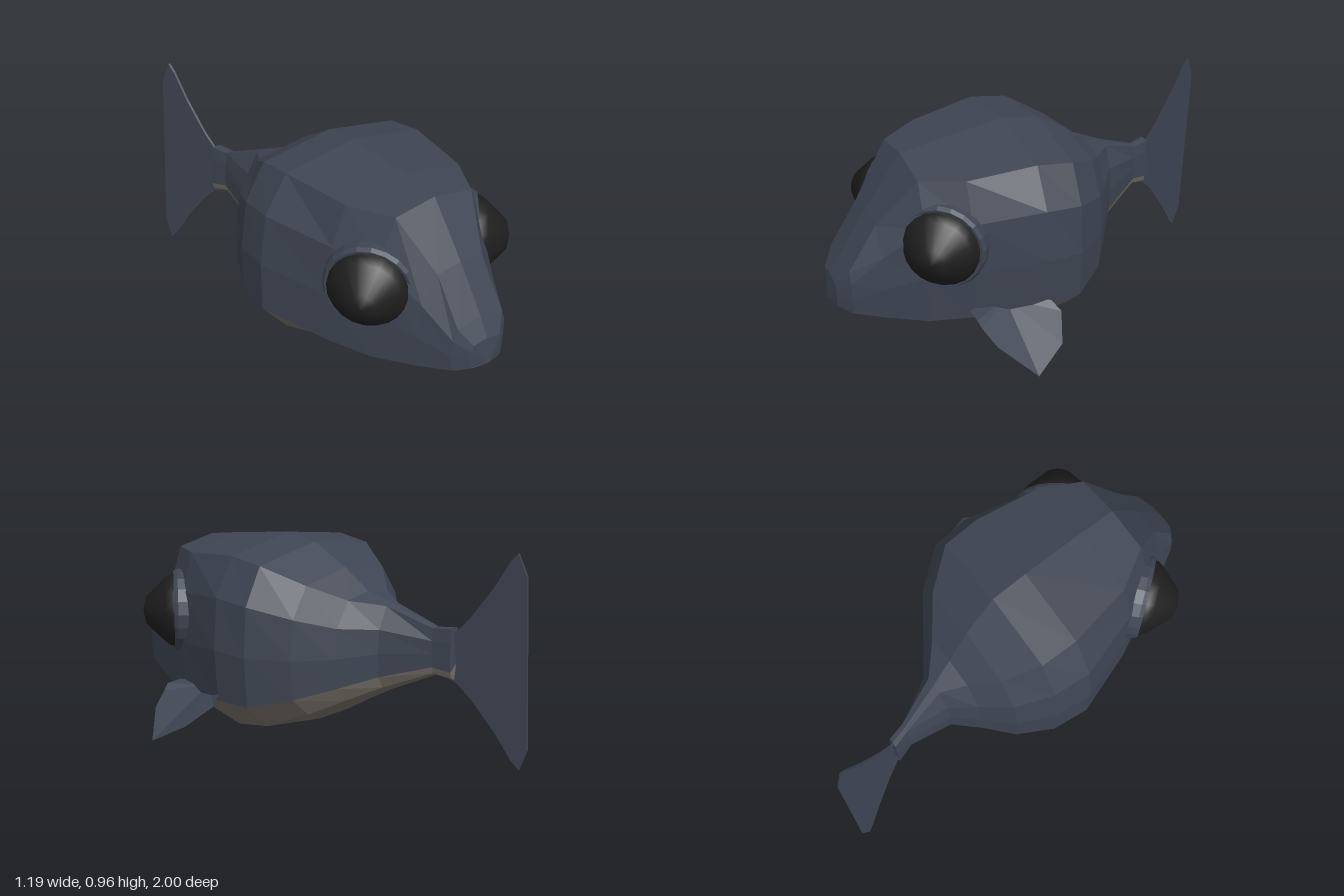
import * as THREE from 'three';

const skin = new THREE.MeshStandardMaterial({ name: 'slate skin', color: 0x3e4552, flatShading: true });
const finMat = new THREE.MeshStandardMaterial({ name: 'slate fin', color: 0x3e4552, flatShading: true, side: THREE.DoubleSide });
const bellyMat = new THREE.MeshStandardMaterial({ name: 'grey belly', color: 0x736d65, flatShading: true });
const eyeMat = new THREE.MeshStandardMaterial({ name: 'black eye', color: 0x1e1e1e });

// Body stations, nose to tail: z, centre x, top y, jaw y, bottom y, half width, ridge half width
const STATIONS = [
  [0.98, -0.07, 0.41, 0.293, 0.28, 0.085, 0.07],
  [0.93, -0.07, 0.49, 0.275, 0.25, 0.145, 0.12],
  [0.8, -0.08, 0.685, 0.25, 0.23, 0.21, 0.12],
  [0.63, -0.09, 0.908, 0.23, 0.205, 0.295, 0.2],
  [0.45, -0.1, 0.93, 0.245, 0.175, 0.38, 0.3],
  [0.14, -0.12, 0.96, 0.27, 0.07, 0.478, 0.35],
  [-0.03, -0.12, 0.932, 0.265, 0.1, 0.46, 0.345],
  [-0.19, -0.145, 0.83, 0.3, 0.175, 0.36, 0.25],
  [-0.3, -0.17, 0.735, 0.335, 0.24, 0.225, 0.13],
  [-0.41, -0.205, 0.69, 0.375, 0.3, 0.1, 0.04],
  [-0.61, -0.26, 0.605, 0.43, 0.39, 0.03, 0.02],
  [-0.69, -0.285, 0.61, 0.415, 0.375, 0.03, 0.022],
];

const lerp = THREE.MathUtils.lerp;

function fromPoints(points, index) {
  const g = new THREE.BufferGeometry();
  g.setAttribute('position', new THREE.Float32BufferAttribute(points.flat(), 3));
  g.setIndex(index);
  g.computeVertexNormals();
  return g;
}

// Joins equal-length rows of points, nose to tail
function loft(rows) {
  const n = rows[0].length, index = [];
  for (let i = 0; i < rows.length - 1; i++) {
    for (let j = 0; j < n - 1; j++) {
      const a = i * n + j, b = a + 1, c = a + n, d = c + 1;
      index.push(a, c, b, b, c, d);
    }
  }
  return fromPoints(rows.flat(), index);
}

function add(parent, name, geometry, material) {
  const mesh = new THREE.Mesh(geometry, material);
  mesh.name = name;
  parent.add(mesh);
}

function buildBody(group) {
  const back = [], under = [];
  for (const [z, cx, top, jaw, bottom, w, ridge] of STATIONS) {
    // The body is rolled slightly about its centre line
    const p = (u, y) => [cx + u + 0.04 * (y - 0.5), y - 0.05 * u, z];
    const ridgeY = top - 0.16 * ridge;
    const shoulder = lerp(ridge, w, 0.8), shoulderY = lerp(top, jaw, 0.33);
    const middleY = (shoulderY + jaw) / 2, jawW = 0.98 * w;
    const bellyW = 0.72 * w, bellyY = lerp(bottom, jaw, 0.3);
    back.push([p(jawW, jaw), p(w, middleY), p(shoulder, shoulderY), p(ridge, ridgeY), p(0, top),
      p(-ridge, ridgeY), p(-shoulder, shoulderY), p(-w, middleY), p(-jawW, jaw)]);
    under.push([p(-jawW, jaw), p(-bellyW, bellyY), p(0, bottom), p(bellyW, bellyY), p(jawW, jaw)]);
  }
  // Close the nose and the tail root
  for (const rows of [back, under]) {
    rows.unshift(rows[0].map(() => [-0.075, 0.295, 1]));
    rows.push(rows[0].map(() => [-0.287, 0.45, -0.7]));
  }
  add(group, 'upperBody', loft(back), skin);
  add(group, 'belly', loft(under), bellyMat);
}

// Blunt cone eye in a thin raised socket, facing outward and forward
function buildEye(group, name, x, z, side) {
  const eye = new THREE.Group();
  eye.name = name;
  const lathe = (pts) => new THREE.LatheGeometry(pts.map(([r, h]) => new THREE.Vector2(r, h)), 20);
  add(eye, 'socket', lathe([[0.2, -0.1], [0.194, -0.01], [0.183, 0.008], [0.168, 0.004]]), skin);
  add(eye, 'eyeball', lathe([[0.172, -0.01], [0.17, 0.02], [0.15, 0.05], [0.062, 0.138], [0, 0.15]]), eyeMat);
  eye.position.set(x, 0.58, z);
  eye.quaternion.setFromUnitVectors(new THREE.Vector3(0, 1, 0), new THREE.Vector3(side * 0.77, 0, 0.63).normalize());
  group.add(eye);
}

function buildTail(group) {
  // Upper half of the outline as z and height above the fin's middle, mirrored below
  const half = [[-0.67, 0.1], [-0.7, 0.115], [-0.76, 0.18], [-0.86, 0.32], [-0.93, 0.44], [-0.96, 0.475], [-0.995, 0.38]];
  const upper = half.map(([z, h]) => new THREE.Vector2(z, 0.477 + h));
  const lower = half.map(([z, h]) => new THREE.Vector2(z, 0.477 - h)).reverse();
  const g = new THREE.ExtrudeGeometry(new THREE.Shape([...upper, ...lower]), { depth: 0.01, bevelEnabled: false });
  // Swing the fin sideways toward its trailing edge and lean it with the body
  const p = g.attributes.position;
  for (let i = 0; i < p.count; i++) {
    const z = p.getX(i), y = p.getY(i), t = p.getZ(i) - 0.005;
    p.setXYZ(i, -0.285 + (z + 0.69) * 0.34 + (y - 0.5) * 0.065 - t, y, z);
  }
  g.computeVertexNormals();
  add(group, 'tailFin', g, finMat);
}

// Single side fin, drooping outward
function buildSideFin(group) {
  const outline = [[0.25, 0.275, 0.3], [0.27, 0.275, 0.475], [0.35, 0.268, 0.475], [0.38, 0.24, 0.465], [0.46, 0.185, 0.43],
    [0.59, 0.08, 0.3], [0.52, 0.16, 0.155], [0.4, 0.24, 0.1], [0.35, 0.275, 0.125]];
  const index = [];
  for (let i = 1; i < outline.length - 1; i++) index.push(0, i, i + 1);
  add(group, 'leftSideFin', fromPoints(outline, index), finMat);
}

export function createModel() {
  const group = new THREE.Group();
  group.name = 'fish';
  buildBody(group);
  buildEye(group, 'leftEye', 0.212, 0.572, 1);
  buildEye(group, 'rightEye', -0.39, 0.605, -1);
  buildTail(group);
  buildSideFin(group);
  return group;
}
